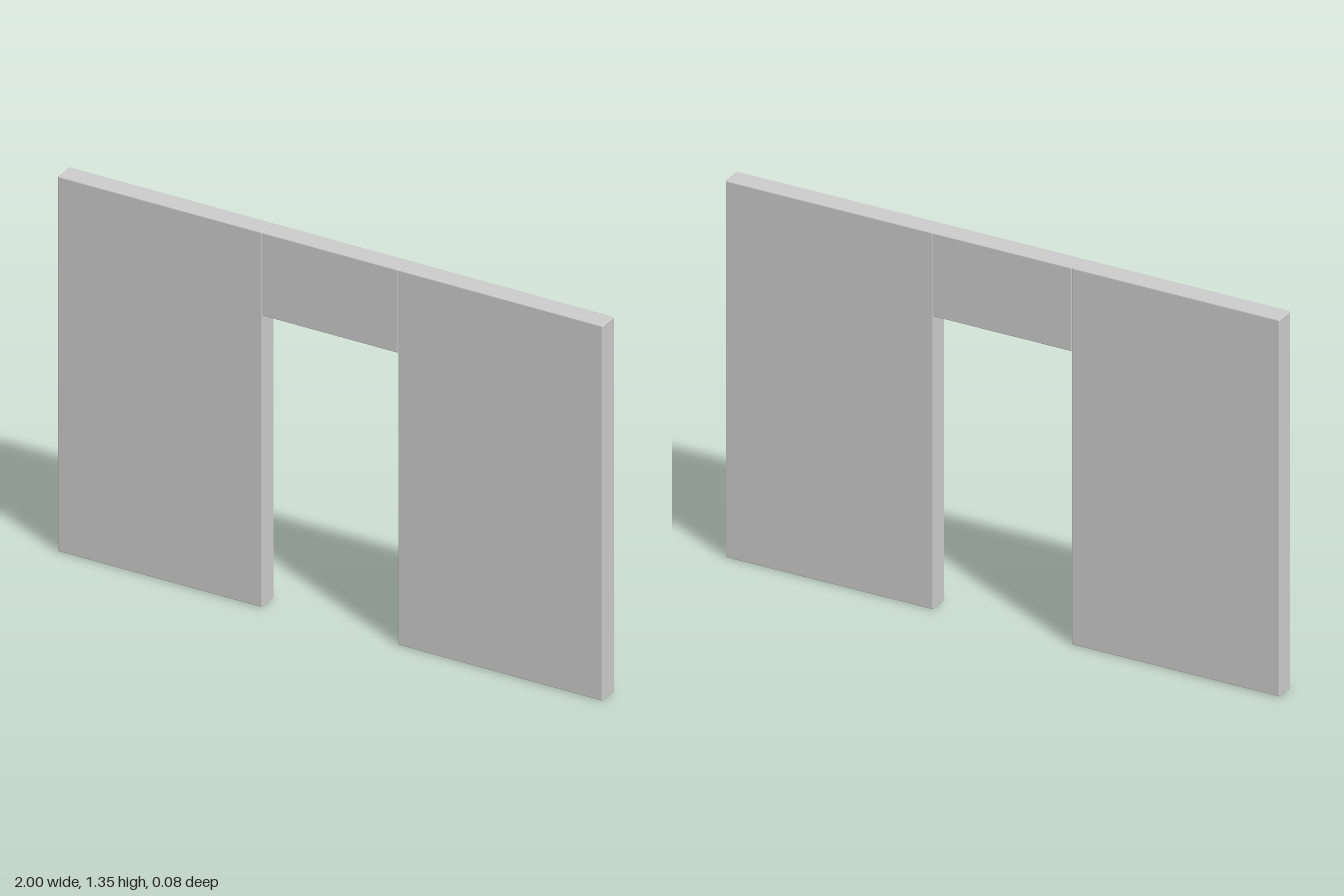
import * as THREE from 'three';
import { RoundedBoxGeometry } from 'three/addons/geometries/RoundedBoxGeometry.js';

const HEIGHT = 1.35;
const DEPTH = 0.075;
const OPENING_WIDTH = 0.5;
const OPENING_HEIGHT = 1.05;
const EDGE = 0.004; // slight rounding on every edge

export function createModel() {
  const group = new THREE.Group();
  group.name = 'doorwayWall';
  const material = new THREE.MeshStandardMaterial({ color: 0xcccccc });

  // Wall slab standing on y = bottom and reaching the full wall height
  function addSlab(name, x0, x1, bottom) {
    const height = HEIGHT - bottom;
    const geometry = new RoundedBoxGeometry(x1 - x0, height, DEPTH, 2, EDGE);
    const mesh = new THREE.Mesh(geometry, material);
    mesh.name = name;
    mesh.position.set((x0 + x1) / 2, bottom + height / 2, 0);
    group.add(mesh);
  }

  const half = OPENING_WIDTH / 2;
  // Side panels
  addSlab('rightWallPanel', -1, -half, 0);
  addSlab('leftWallPanel', half, 1, 0);
  // Lintel bridging the doorway
  addSlab('lintel', -half, half, OPENING_HEIGHT);

  return group;
}
